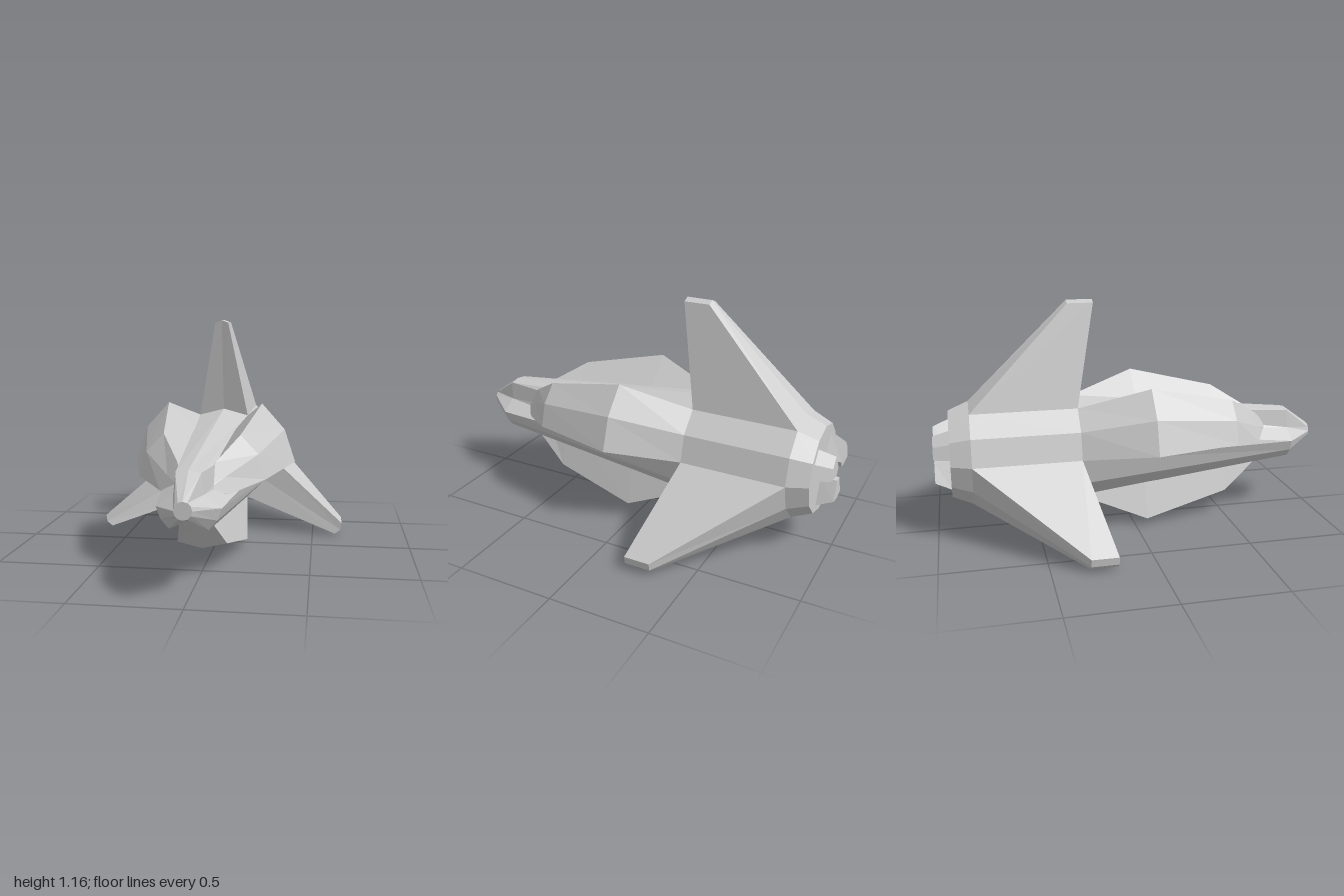
import * as THREE from 'three';

const material = new THREE.MeshStandardMaterial({ color: 0xcccccc, flatShading: true });

// Skin a list of equal-length rings of [x, y, z] points and cap both ends
function loft(name, rings) {
  const pos = [];
  const tri = (a, b, c) => pos.push(...a, ...b, ...c);
  const n = rings[0].length;
  for (let k = 0; k < rings.length - 1; k++) {
    const A = rings[k], B = rings[k + 1];
    for (let i = 0; i < n; i++) {
      const j = (i + 1) % n;
      tri(A[i], A[j], B[j]);
      tri(A[i], B[j], B[i]);
    }
  }
  const first = rings[0], last = rings[rings.length - 1];
  for (let i = 1; i < n - 1; i++) {
    tri(first[0], first[i + 1], first[i]);
    tri(last[0], last[i], last[i + 1]);
  }
  const g = new THREE.BufferGeometry();
  g.setAttribute('position', new THREE.Float32BufferAttribute(pos, 3));
  g.computeVertexNormals();
  const mesh = new THREE.Mesh(g, material);
  mesh.name = name;
  return mesh;
}

// Twelve-point hull ring: three arms (corner, ridge, corner) with a trough after each
function hullRing(z, w, h, ridge, trough) {
  const ring = [];
  for (let k = 0; k < 3; k++) {
    const c = Math.cos(k * Math.PI * 2 / 3), s = Math.sin(k * Math.PI * 2 / 3);
    const sector = [[w, h], [0, ridge], [-w, h], [-trough * Math.sin(Math.PI / 3), trough * 0.5]];
    for (const [x, y] of sector) ring.push([x * c - y * s, x * s + y * c, z]);
  }
  return ring;
}
const roundRing = (z, r) => hullRing(z, r * 0.5, r * Math.sqrt(0.75), r, r);

// Wedge cross-section pointing down, with a shallow ridge on its outer face
const wedgeRing = (z, innerW, innerH, w, h, ridge) => [
  [0, -ridge, z], [w, -h, z], [innerW, -innerH, z], [-innerW, -innerH, z], [-w, -h, z],
];

// Fin cross-section, lofted outward from the hull
const finRing = (w, h, ridge, front, back) => [
  [0, ridge, front], [w, h, front], [w, h, back], [0, ridge, back], [-w, h, back], [-w, h, front],
];

export function createModel() {
  const model = new THREE.Group();
  model.name = 'spaceship';
  const ship = new THREE.Group();
  ship.name = 'ship';
  ship.position.y = 0.413;
  model.add(ship);

  // Hull: tail taper, straight drum, grooved forebody, nose
  ship.add(loft('hull', [
    roundRing(-0.92, 0.222),
    roundRing(-0.82, 0.265),
    roundRing(-0.29, 0.265),
    hullRing(0.86, 0.055, 0.13, 0.14, 0.075),
    roundRing(1.0, 0.039),
  ]));

  // Three fins, three bulging pods and three engine nozzles around the axis
  for (let k = 0; k < 3; k++) {
    const sector = new THREE.Group();
    sector.name = 'sector' + (k + 1);
    sector.rotation.z = k * Math.PI * 2 / 3;
    sector.add(loft('fin', [
      finRing(0.1325, 0.2295, 0.265, -0.29, -0.82),
      finRing(0.035, 0.738, 0.752, -0.19, -0.32),
    ]));
    sector.add(loft('pod', [
      wedgeRing(-0.29, 0.07, 0, 0.1325, 0.2295, 0.265),
      wedgeRing(0.06, 0.07, 0, 0.17, 0.375, 0.41),
      wedgeRing(0.5, 0.045, 0, 0.117, 0.273, 0.3),
      wedgeRing(0.66, 0.03, 0, 0.078, 0.145, 0.15),
      wedgeRing(0.8, 0.005, 0, 0.01, 0.02, 0.025),
    ]));
    sector.add(loft('nozzle', [
      wedgeRing(-1.0, 0.02, 0.04, 0.06, 0.135, 0.147),
      wedgeRing(-0.915, 0.022, 0.035, 0.075, 0.17, 0.185),
    ]));
    ship.add(sector);
  }
  return model;
}
